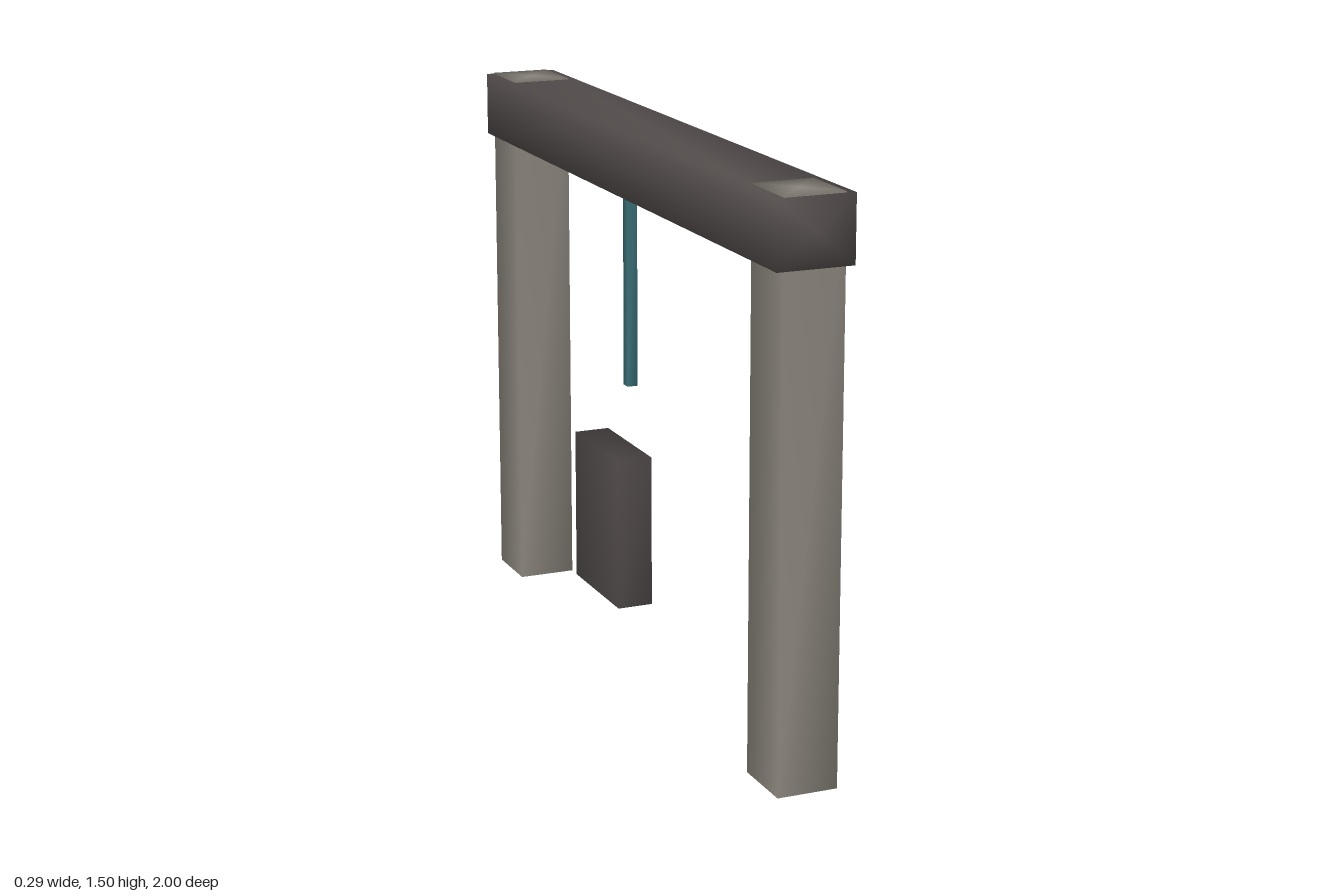
import * as THREE from 'three';
import { mergeVertices } from 'three/addons/utils/BufferGeometryUtils.js';

const material = (color) => new THREE.MeshStandardMaterial({ color });

// Share corner vertices so shading runs smoothly round the edges
function smooth(geometry) {
  geometry.deleteAttribute('normal');
  geometry.deleteAttribute('uv');
  const merged = mergeVertices(geometry, 1e-4);
  merged.computeVertexNormals();
  return merged;
}

// Four-sided prism filling the given ranges, running along y or z
function prism(name, mat, [x0, x1], [y0, y1], [z0, z1], axis = 'y') {
  const geometry = new THREE.CylinderGeometry(Math.SQRT1_2, Math.SQRT1_2, 1, 4);
  geometry.rotateY(Math.PI / 4);
  if (axis === 'z') geometry.rotateX(Math.PI / 2);
  geometry.scale(x1 - x0, y1 - y0, z1 - z0);
  const mesh = new THREE.Mesh(smooth(geometry), mat);
  mesh.name = name;
  mesh.position.set((x0 + x1) / 2, (y0 + y1) / 2, (z0 + z1) / 2);
  return mesh;
}

export function createModel() {
  const model = new THREE.Group();
  model.name = 'gateway';
  const stone = material(0x8a857c);
  const dark = material(0x544e4d);
  const rust = material(0xb05c43);
  const teal = material(0x376c73);

  // Posts, with tops just proud of the beam
  model.add(prism('frontPost', stone, [-0.125, 0.037], [0, 1.5], [0.815, 0.995]));
  model.add(prism('backPost', stone, [-0.125, 0.037], [0, 1.5], [-0.995, -0.815]));

  // Beam across both posts
  model.add(prism('beam', dark, [-0.145, 0.06], [1.322, 1.497], [-1, 1], 'z'));

  // Panel standing beside the back post
  const panel = new THREE.Mesh(smooth(new THREE.BoxGeometry(0.105, 0.447, 0.337)), dark);
  panel.name = 'panel';
  panel.position.set(0.0885, 0.2235, -0.608);
  model.add(panel);

  // Rust-coloured strips
  model.add(prism('uprightStrip', rust, [0.055, 0.085], [0.315, 1.245], [0.767, 0.815]));
  model.add(prism('levelStrip', rust, [0.057, 0.089], [1.28, 1.325], [-0.543, -0.012], 'z'));

  // Teal hanging strips
  model.add(prism('shortHanger', teal, [0.104, 0.135], [0.33, 0.762], [0.57, 0.6]));
  model.add(prism('longHanger', teal, [0.104, 0.135], [0.64, 1.302], [-0.56, -0.53]));

  return model;
}
